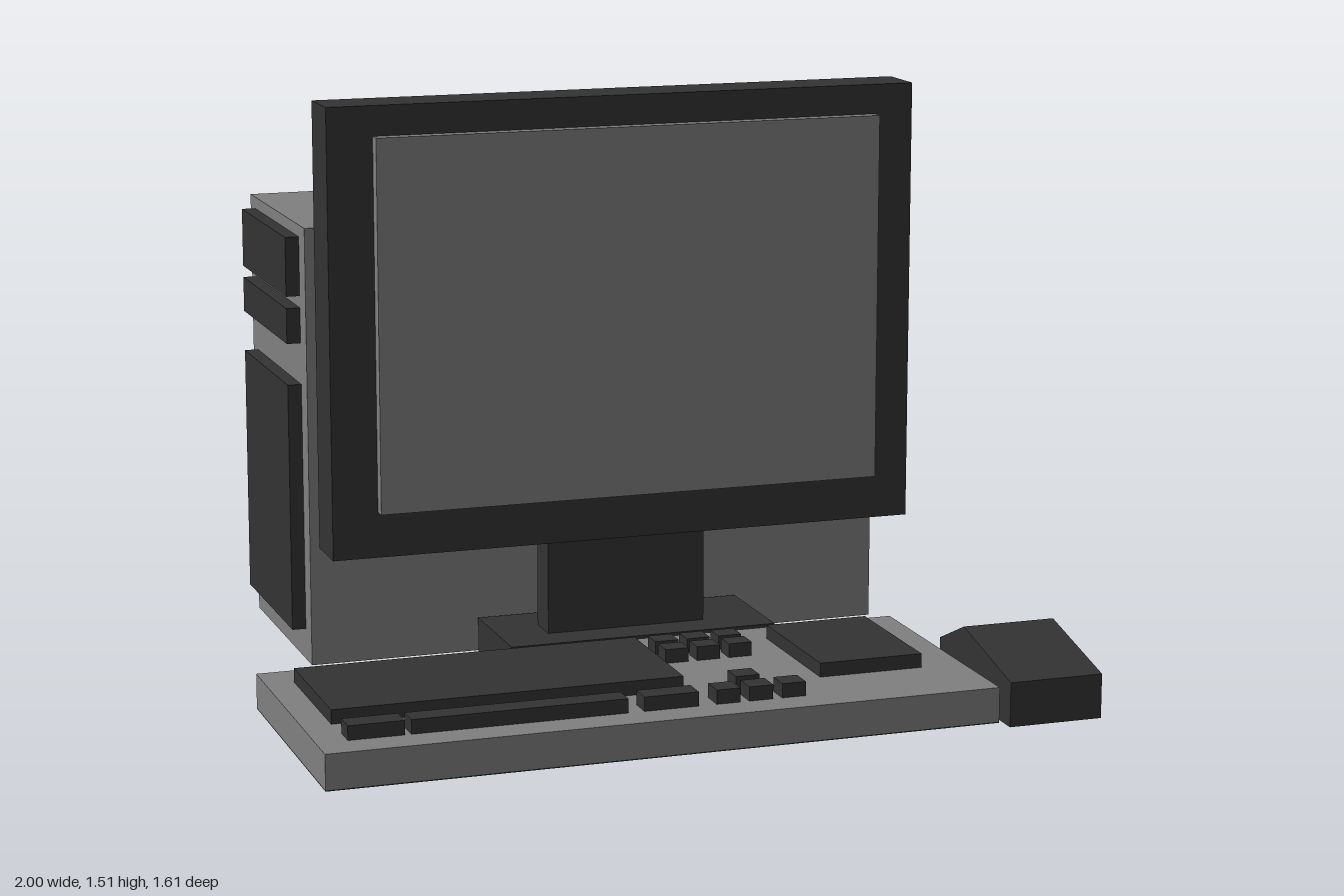
import * as THREE from 'three';

const grey = new THREE.MeshStandardMaterial({ color: 0x808080 });
const dark = new THREE.MeshStandardMaterial({ color: 0x333333 });

// Box given by its extents along each axis
function block(parent, name, material, [x0, x1], [y0, y1], [z0, z1]) {
  const mesh = new THREE.Mesh(new THREE.BoxGeometry(x1 - x0, y1 - y0, z1 - z0), material);
  mesh.position.set((x0 + x1) / 2, (y0 + y1) / 2, (z0 + z1) / 2);
  mesh.name = name;
  parent.add(mesh);
  return mesh;
}

function part(parent, name) {
  const group = new THREE.Group();
  group.name = name;
  parent.add(group);
  return group;
}

export function createModel() {
  const model = new THREE.Group();
  model.name = 'desktopComputer';

  // Tower with drive bays and a front panel on its -x side
  const tower = part(model, 'tower');
  block(tower, 'towerCase', grey, [-0.78, 0.74], [0.06, 1.18], [-0.805, -0.215]);
  const bays = { upperDrive: [1.0, 1.15], lowerDrive: [0.88, 0.97], towerPanel: [0.14, 0.775] };
  for (const [name, height] of Object.entries(bays)) {
    block(tower, name, dark, [-0.815, -0.78], height, [-0.755, -0.275]);
  }

  // Monitor on a stand
  const monitor = part(model, 'monitor');
  block(monitor, 'monitorCase', dark, [-0.78, 0.74], [0.39, 1.51], [-0.115, 0.025]);
  block(monitor, 'screen', grey, [-0.665, 0.64], [0.505, 1.435], [0.02, 0.057]);
  block(monitor, 'standNeck', dark, [-0.22, 0.195], [0.15, 0.39], [-0.09, 0]);
  block(monitor, 'standBase', dark, [-0.345, 0.355], [0.06, 0.15], [-0.202, 0.092]);

  // Keyboard slab with a dark underside
  const keyboard = part(model, 'keyboard');
  block(keyboard, 'keyboardBody', grey, [-1, 0.66], [0.065, 0.15], [0.12, 0.805]);
  block(keyboard, 'keyboardUnderside', dark, [-1, 0.66], [0.062, 0.065], [0.12, 0.805]);

  // Key blocks and single keys
  const key = (name, x, z) => block(keyboard, name, dark, x, [0.145, 0.185], z);
  key('mainKeys', [-0.93, -0.065], [0.22, 0.585]);
  key('numberPad', [0.285, 0.55], [0.22, 0.585]);
  const bottomRow = [0.66, 0.72];
  key('leftModifierKey', [-0.925, -0.79], bottomRow);
  key('spaceBar', [-0.775, -0.25], bottomRow);
  key('rightModifierKey', [-0.21, -0.075], bottomRow);
  for (const x of [0, 0.082, 0.165]) {
    const width = [x - 0.03, x + 0.03];
    key('navigationKey', width, [0.22, 0.277]);
    key('navigationKey', width, [0.297, 0.353]);
    key('arrowKey', width, bottomRow);
  }
  key('arrowKey', [0.052, 0.112], [0.57, 0.628]);

  // Mouse: side profile (-z, y) with a ridge, extruded along x
  const profile = new THREE.Shape(
    [[-0.662, 0], [-0.227, 0], [-0.227, 0.113], [-0.375, 0.18], [-0.662, 0.113]]
      .map(([u, v]) => new THREE.Vector2(u, v)));
  const mouseGeometry = new THREE.ExtrudeGeometry(profile, { depth: 0.245, bevelEnabled: false });
  mouseGeometry.rotateY(Math.PI / 2);
  const mouse = new THREE.Mesh(mouseGeometry, dark);
  mouse.position.x = 0.755;
  mouse.name = 'mouse';
  model.add(mouse);

  return model;
}
